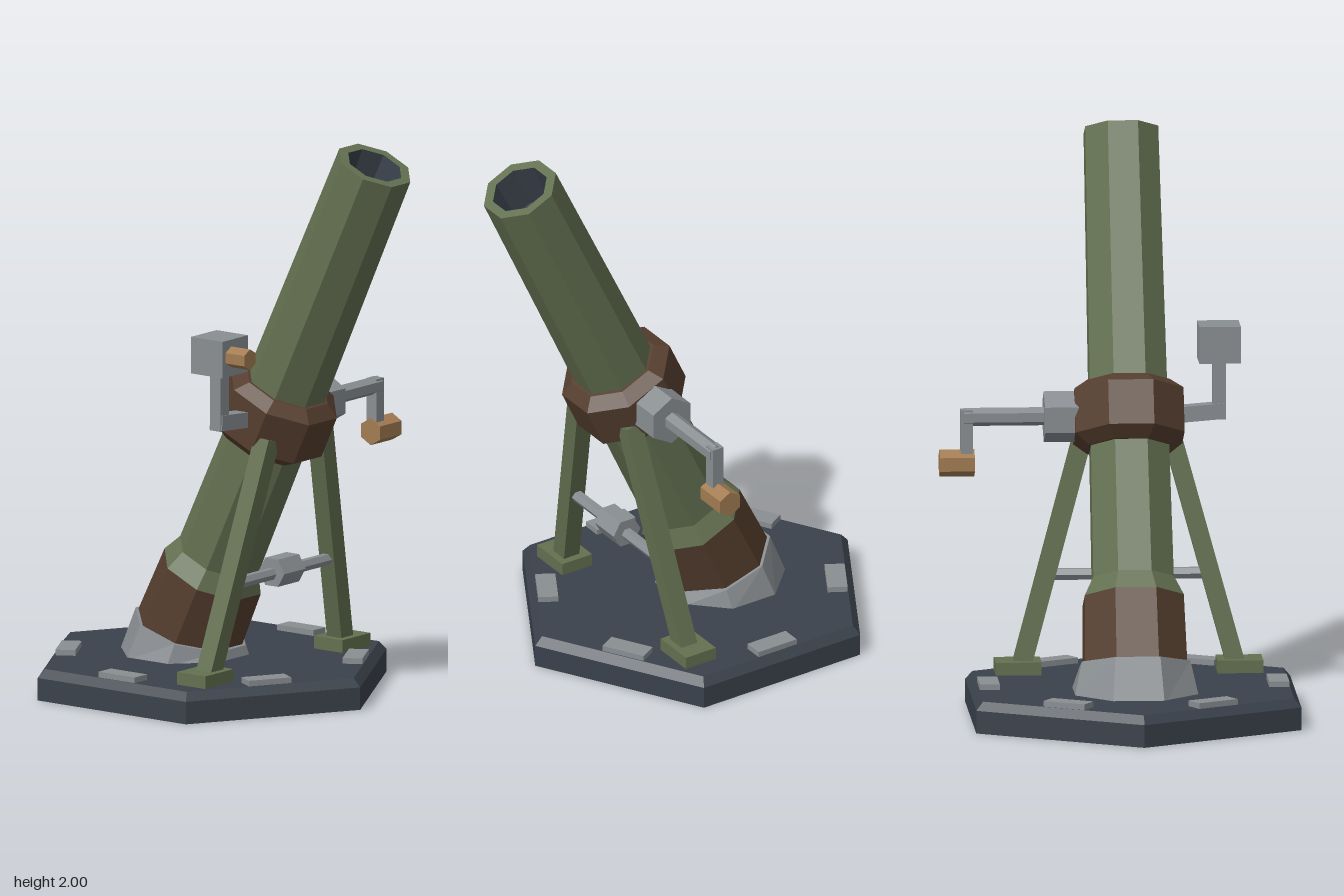
import * as THREE from 'three';

const mat = (name, color) => {
  const m = new THREE.MeshStandardMaterial({ color });
  m.name = name;
  return m;
};

export function createModel() {
  const slate = mat('dark slate', 0x3a414b);
  const green = mat('olive green', 0x637050);
  const brown = mat('dark brown', 0x553e2e);
  const steel = mat('steel grey', 0x898e92);
  const tan = mat('tan grip', 0xa27c52);

  const model = new THREE.Group();
  model.name = 'mortar';
  const CX = -0.05; // centre line of the gun
  const gun = new THREE.Group();
  gun.name = 'gun';
  gun.position.x = CX;
  model.add(gun);

  // Faceted mesh
  const add = (parent, name, geo, material, x = 0, y = 0, z = 0) => {
    const g = geo.index ? geo.toNonIndexed() : geo;
    g.computeVertexNormals();
    const mesh = new THREE.Mesh(g, material);
    mesh.name = name;
    mesh.position.set(x, y, z);
    parent.add(mesh);
    return mesh;
  };
  const box = (w, h, d) => new THREE.BoxGeometry(w, h, d);
  const hex = (r, len) => new THREE.CylinderGeometry(r, r, len, 6);
  // Hexagonal rod along x with corners at top and bottom
  const hexX = (r, len) => hex(r, len).rotateY(Math.PI / 6).rotateZ(Math.PI / 2);
  // Eight-sided turned part with a flat facing the front
  const turned = (pts) => new THREE.LatheGeometry(
    pts.map(([r, y]) => new THREE.Vector2(r, y)), 8, Math.PI / 8);
  // Square bar between two points
  const bar = (parent, name, a, b, w, d, material) => {
    const A = new THREE.Vector3(...a), B = new THREE.Vector3(...b);
    const dir = B.clone().sub(A);
    const mesh = add(parent, name, box(w, dir.length(), d), material);
    mesh.position.copy(A).add(B).multiplyScalar(0.5);
    mesh.quaternion.setFromUnitVectors(new THREE.Vector3(0, 1, 0), dir.normalize());
    return mesh;
  };

  // Hexagonal base plate with a bevelled rim
  const PZ = -0.09;
  add(gun, 'basePlate', new THREE.CylinderGeometry(0.655, 0.655, 0.08, 6), slate, 0, 0.04, PZ);
  add(gun, 'basePlateBevel', new THREE.CylinderGeometry(0.627, 0.655, 0.03, 6), slate, 0, 0.095, PZ);

  // Steel pads near the middle of each plate edge
  for (let i = 0; i < 6; i++) {
    const a = (i * Math.PI) / 3;
    const pad = add(gun, 'platePad', box(0.07, 0.03, 0.16), steel,
      0.505 * Math.cos(a), 0.115, PZ - 0.505 * Math.sin(a));
    pad.rotation.y = a;
  }

  // Socket: upright foot with a slanted top that follows the barrel
  const socket = new THREE.CylinderGeometry(0.205, 0.235, 0.1, 8).rotateY(Math.PI / 8);
  const p = socket.attributes.position;
  for (let i = 0; i < p.count; i++) {
    if (p.getY(i) > 0) {
      p.setY(i, p.getY(i) - 0.3 * p.getZ(i));
      p.setZ(i, p.getZ(i) * 0.96 + 0.025);
    }
  }
  add(gun, 'socket', socket, steel, 0, 0.15, -0.21);

  // Tilted barrel assembly, its own y axis along the bore
  const tube = new THREE.Group();
  tube.name = 'barrelAssembly';
  tube.position.set(0, 0.11, -0.227);
  tube.rotation.x = THREE.MathUtils.degToRad(25);
  gun.add(tube);
  add(tube, 'breech', turned([[0, 0.02], [0.195, 0.02], [0.187, 0.33]]), brown);
  add(tube, 'barrel', turned([[0.187, 0.33], [0.152, 0.4], [0.138, 2.027], [0.103, 2.027]]), green);
  add(tube, 'bore', turned([[0.103, 2.027], [0.09, 1.87], [0, 1.87]]), slate);
  add(tube, 'clampBand', turned([
    [0.14, 0.875], [0.157, 0.875], [0.206, 0.915], [0.206, 1.075], [0.157, 1.11], [0.14, 1.11],
  ]), brown);

  // Bipod legs and feet
  for (const s of [1, -1]) {
    bar(gun, 'bipodLeg', [s * 0.375, 0.13, 0.185], [s * 0.15, 0.95, 0.27], 0.065, 0.065, green);
    add(gun, 'bipodFoot', box(0.16, 0.045, 0.125), green, s * 0.387, 0.1325, 0.183);
  }

  // Spreader bar with its hexagonal turnbuckle
  add(gun, 'spreaderBar', hex(0.022, 0.54).rotateZ(Math.PI / 2), steel, 0, 0.45, 0.22);
  add(gun, 'turnbuckle', hex(0.056, 0.12).rotateZ(Math.PI / 2), steel, 0, 0.455, 0.22);

  // Elevation crank on the left side
  const AY = 1.012, AZ = 0.19;
  add(model, 'crankBoss', hexX(0.09, 0.145), steel, 0.173, AY, AZ);
  add(model, 'crankShaft', hexX(0.032, 0.29), steel, 0.38, AY + 0.002, AZ);
  add(model, 'crankArm', box(0.042, 0.17, 0.045), steel, 0.515, 0.955, AZ);
  add(model, 'crankHandle', hexX(0.048, 0.122), tan, 0.549, 0.852, AZ);

  // Sight on the right side, carried by a bent bracket
  bar(model, 'sightArm', [-0.2, 1.015, AZ], [-0.385, 1.03, AZ], 0.055, 0.055, steel);
  add(model, 'sightPost', box(0.046, 0.22, 0.046), steel, -0.366, 1.11, AZ);
  add(model, 'sightBox', box(0.145, 0.13, 0.14), steel, -0.366, 1.27, AZ);
  add(model, 'sightEyepiece', hex(0.037, 0.1).rotateX(Math.PI / 2), tan, -0.389, 1.274, 0.293);

  return model;
}
